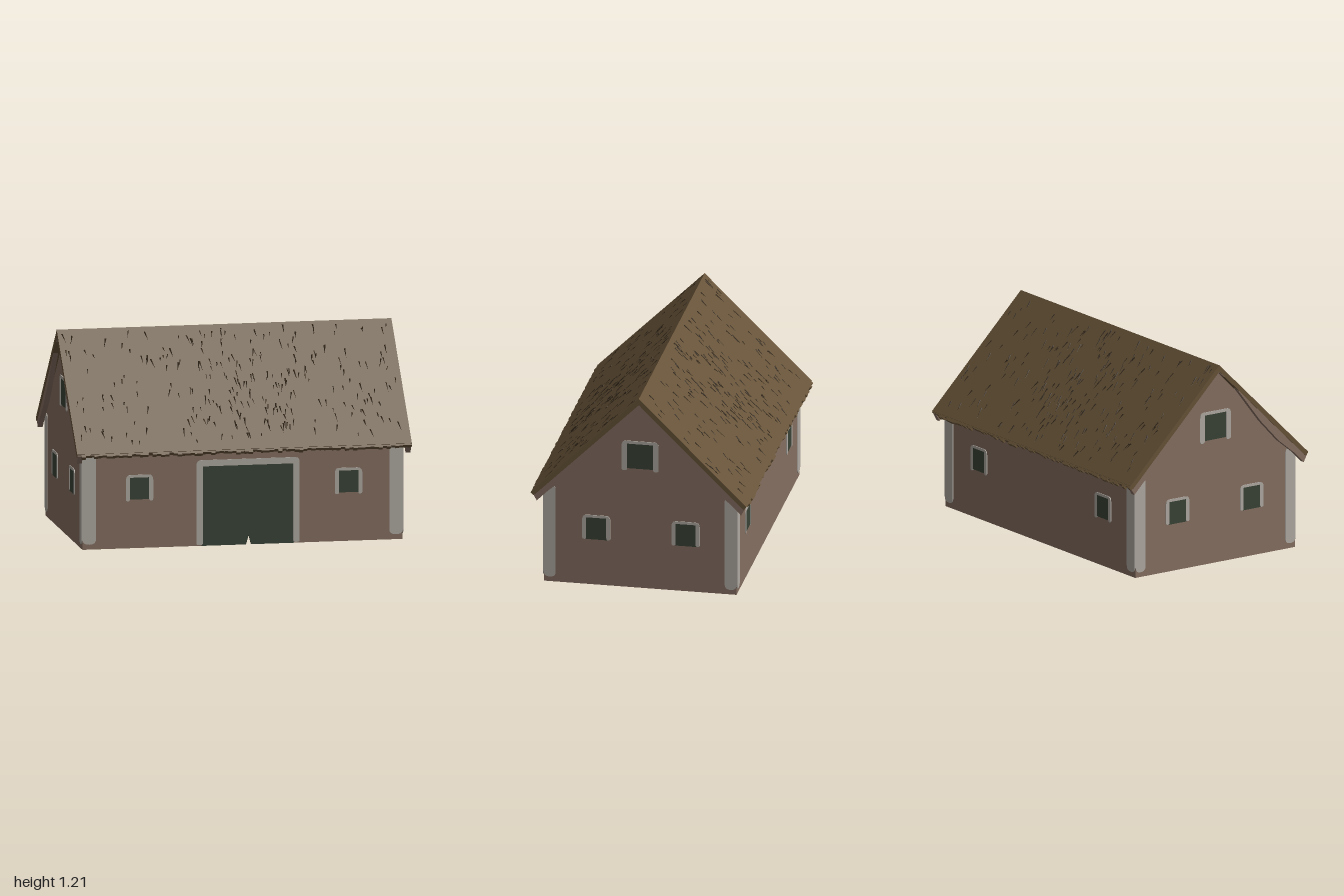
import * as THREE from 'three';
import { mergeGeometries } from 'three/addons/utils/BufferGeometryUtils.js';

const mat = (name, color, side = THREE.FrontSide) => {
  const m = new THREE.MeshStandardMaterial({ color, side });
  m.name = name;
  return m;
};

export function createModel() {
  const clay = mat('clay wall', 0x866f61, THREE.DoubleSide);
  const plaster = mat('pale plaster', 0xb0aaa2);
  const green = mat('dark green paint', 0x394336);
  const thatch = mat('thatch', 0x675338, THREE.DoubleSide);
  const shade = mat('dark straw', 0x3d3020);

  const W = 0.955, D = 0.575, EAVE = 0.605, RIDGE = 1.21, PITCH = 0.778;
  let seed = 7;
  const rnd = () => (seed = (seed * 16807) % 2147483647) / 2147483647;

  const model = new THREE.Group();
  model.name = 'thatchedBarn';

  const add = (parent, name, geo, material, x = 0, y = 0, z = 0) => {
    const m = new THREE.Mesh(geo, material);
    m.name = name;
    m.position.set(x, y, z);
    parent.add(m);
    return m;
  };
  const poly = pts => new THREE.Shape(pts.map(p => new THREE.Vector2(...p)));
  // thin plate, centred on the wall so that it shows inside and out
  const plate = (shape, t) =>
    new THREE.ExtrudeGeometry(shape, { depth: t, bevelEnabled: false, curveSegments: 5 }).translate(0, 0, -t / 2);

  // surround: an arch of plaster with two rounded legs
  const archShape = (w, h, leg, top, footR) => {
    const r = 0.03, o = w / 2, i = o - leg, s = new THREE.Shape();
    s.moveTo(-o, footR);
    s.lineTo(-o, h - r);
    s.quadraticCurveTo(-o, h, -o + r, h);
    s.lineTo(o - r, h);
    s.quadraticCurveTo(o, h, o, h - r);
    s.lineTo(o, footR);
    s.quadraticCurveTo(o, 0, o - leg / 2, 0);
    s.quadraticCurveTo(i, 0, i, footR);
    s.lineTo(i, h - top);
    s.lineTo(-i, h - top);
    s.lineTo(-i, footR);
    s.quadraticCurveTo(-i, 0, -o + leg / 2, 0);
    s.quadraticCurveTo(-o, 0, -o, footR);
    return s;
  };
  const addWindow = (wall, x, y, w, h, leg, top, drop) => {
    const g = new THREE.Group();
    g.name = 'window';
    g.position.set(x, y, 0);
    wall.add(g);
    add(g, 'windowPane', new THREE.BoxGeometry(w + 0.008, h, 0.008), green, 0, h / 2, 0);
    add(g, 'windowSurround', plate(archShape(w + 2 * leg, h + top + drop, leg, top, 0.012), 0.0095),
      plaster, 0, -drop, 0);
  };
  // corner strip with rounded ends on the two ends of a wall
  const addCorners = (wall, half, width, top) => {
    for (const s of [-1, 1]) {
      const a = s * half, b = s * (half - width), m = (a + b) / 2;
      const c = new THREE.Shape();
      c.moveTo(a, 0.06);
      c.lineTo(a, top - 0.02);
      c.quadraticCurveTo(a, top, m, top);
      c.quadraticCurveTo(b, top, b, top - 0.03);
      c.lineTo(b, 0.06);
      c.quadraticCurveTo(b, 0.03, m, 0.03);
      c.quadraticCurveTo(a, 0.03, a, 0.06);
      add(wall, 'cornerStrip', plate(c, 0.009), plaster);
    }
  };
  const addWall = (name, pts, x, z, turn) => {
    const g = new THREE.Group();
    g.name = name;
    g.position.set(x, 0, z);
    g.rotation.y = turn;
    model.add(g);
    add(g, name + 'Panel', new THREE.ShapeGeometry(poly(pts)), clay);
    return g;
  };

  // long walls: the front one is cut out for the door
  const front = addWall('frontWall', [[-W, 0], [-0.24, 0], [-0.24, 0.47], [0.3, 0.47], [0.3, 0],
    [W, 0], [W, EAVE], [-W, EAVE]], 0, D, 0);
  const back = addWall('backWall', [[-W, 0], [W, 0], [W, EAVE], [-W, EAVE]], 0, -D, Math.PI);
  for (const wall of [front, back]) {
    addCorners(wall, W, 0.08, 0.58);
    for (const x of [-0.615, 0.632]) addWindow(wall, x, 0.29, 0.115, 0.13, 0.024, 0.016, 0.01);
  }

  // barn door with a small nick at the foot
  add(front, 'door', plate(poly([[-0.245, 0], [0.02, 0], [0.036, 0.055], [0.05, 0],
    [0.305, 0], [0.305, 0.475], [-0.245, 0.475]]), 0.008), green);
  add(front, 'doorSurround', plate(archShape(0.615, 0.505, 0.038, 0.037, 0.01), 0.0095), plaster, 0.032, 0.005, 0);

  // gable walls
  const gable = [[-D, 0], [D, 0], [D, EAVE], [0, 1.175], [-D, EAVE]];
  for (const s of [1, -1]) {
    const g = addWall(s > 0 ? 'rightGable' : 'leftGable', gable, s * W, 0, s * Math.PI / 2);
    addCorners(g, D, 0.07, 0.615);
    addWindow(g, -0.262 * s, 0.285, 0.12, 0.137, 0.024, 0.016, 0);
    addWindow(g, 0.272 * s, 0.285, 0.12, 0.137, 0.024, 0.016, 0);
    addWindow(g, 0, 0.752, 0.155, 0.155, 0.033, 0.018, 0.014);
  }

  // verge boards under the two ends of the roof
  const verge = [[0, 1.19], [0.635, 0.565], [0.61, 0.52], [0.54, 0.59], [0.43, 0.68], [0.3, 0.82], [0.1, 1.08], [0, 1.165]];
  for (const x of [-0.98, 0.98]) for (const s of [-1, 1]) {
    const geo = plate(poly(verge.map(p => [p[0] * s, p[1]])), 0.03).rotateY(Math.PI / 2);
    add(model, 'vergeBoard', geo, clay, x);
  }

  // roof slopes, in a frame with +z running down the slope and +y outward
  for (const s of [0, 1]) {
    const half = new THREE.Group();
    half.name = s ? 'backRoof' : 'frontRoof';
    half.rotation.y = s * Math.PI;
    model.add(half);
    const slope = new THREE.Group();
    slope.name = 'slope';
    slope.position.y = RIDGE;
    slope.rotation.x = PITCH;
    half.add(slope);
    add(slope, 'thatchSlab', new THREE.BoxGeometry(1.996, 0.028, 0.898), thatch, 0, -0.014, 0.449);

    // ragged straw ends along the eave
    const fringe = [];
    for (let i = 0; i < 80; i++) {
      const len = 0.03 + rnd() * 0.018;
      fringe.push(new THREE.BoxGeometry(0.0249, 0.022, len)
        .translate(-0.985 + i * 0.02494, -0.014, 0.872 + len / 2));
    }
    add(slope, 'eaveFringe', mergeGeometries(fringe), thatch);

    // loose straws scattered over the slope, denser in the middle
    const straws = [];
    for (let i = 0; i < 260; i++) {
      const x = i % 3 ? (rnd() * 2 - 1) * 0.97 : (rnd() + rnd() - 1) * 0.5;
      const len = 0.025 + rnd() * 0.045;
      straws.push(new THREE.ConeGeometry(0.0035 + rnd() * 0.003, len, 3).rotateX(Math.PI / 2)
        .rotateY((rnd() - 0.5) * 0.6).translate(x, 0.001, 0.05 + rnd() * 0.79));
    }
    add(slope, 'looseStraw', mergeGeometries(straws), shade);

    // rafters, with their tails showing under the eave
    for (let i = 0; i < 12; i++)
      add(slope, 'rafter', new THREE.BoxGeometry(0.02, 0.03, 0.84), thatch, -0.9 + i * 0.1636, -0.042, 0.455);
  }
  return model;
}
